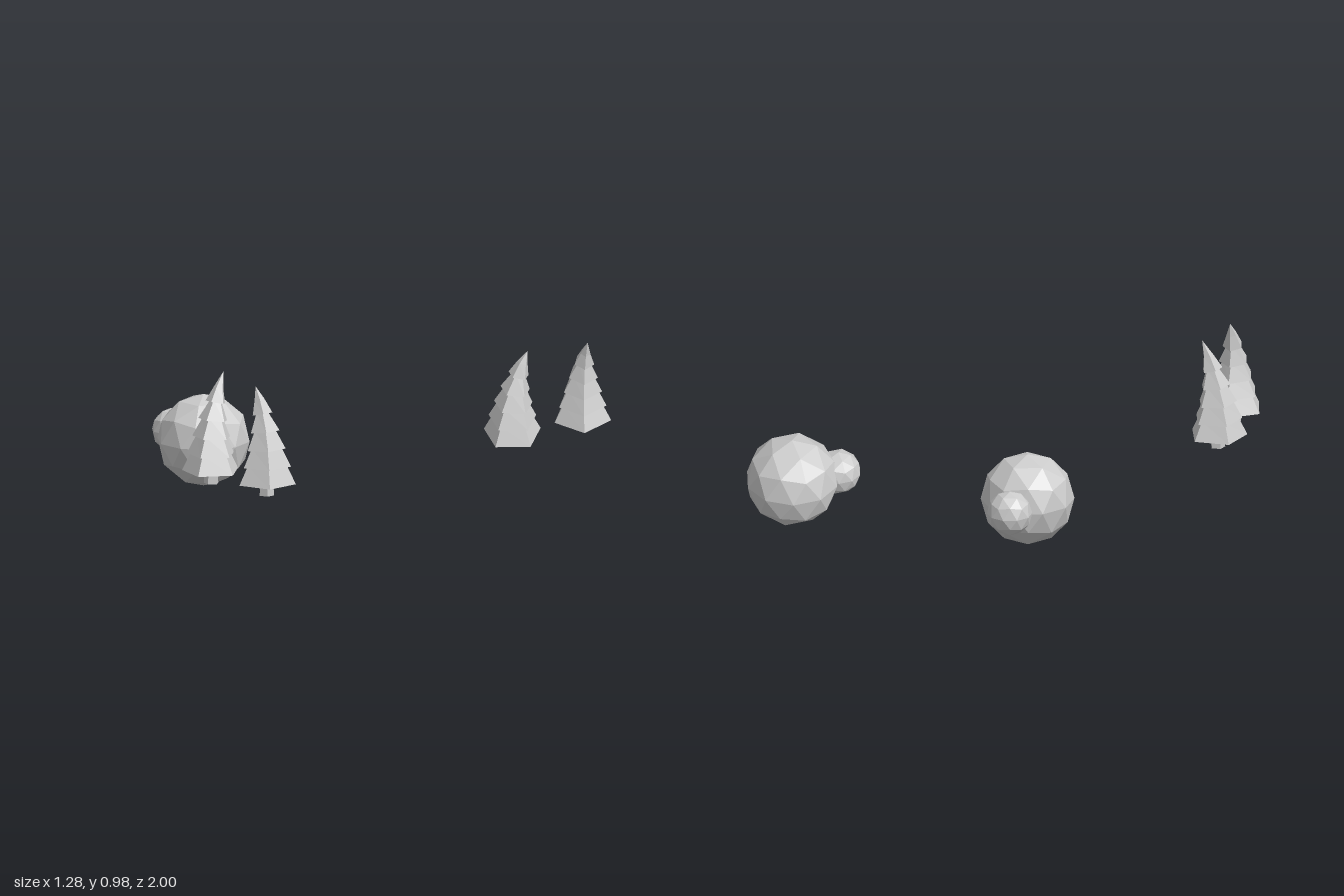
import * as THREE from 'three';

const material = new THREE.MeshStandardMaterial({ color: 0xcccccc, flatShading: true, side: THREE.DoubleSide });
const SIDES = 5;
const BASE = 0.4; // height of the lowest branch rim

function addMesh(parent, name, geometry) {
  const mesh = new THREE.Mesh(geometry, material);
  mesh.name = name;
  parent.add(mesh);
  return mesh;
}

// Faceted ball with a corner straight up
function ball(parent, name, radius, x, y, z) {
  const geometry = new THREE.IcosahedronGeometry(radius, 1);
  geometry.rotateZ(-Math.atan(2 / (1 + Math.sqrt(5))));
  addMesh(parent, name, geometry).position.set(x, y, z);
}

// Flat-sided turned shape from [radius, height] pairs, listed bottom to top
function turned(points, phi) {
  return new THREE.LatheGeometry(points.map(([r, y]) => new THREE.Vector2(r, y)), SIDES, phi);
}

// Lean the crown towards (bx, bz), more strongly near the tip
function bend(geometry, bx, bz, tipY) {
  const reach = 0.095, power = 2.8, span = tipY - BASE;
  const p = geometry.attributes.position;
  for (let i = 0; i < p.count; i++) {
    const x = p.getX(i), y = p.getY(i), z = p.getZ(i);
    const t = Math.max(0, (y - BASE) / span);
    const shift = reach * t ** power;
    const slope = (reach * power / span) * t ** (power - 1);
    p.setXYZ(i, x + bx * shift, y - slope * (x * bx + z * bz), z + bz * shift);
  }
  return geometry;
}

function tree(parent, name, x, z, phi, bx, bz, tipY) {
  const group = new THREE.Group();
  group.name = name;
  group.position.set(x, 0, z);
  parent.add(group);

  // Five stacked skirts, each overhanging the one below, ending in a point
  const profile = [[0, 0.425]];
  for (let i = 0; i < 5; i++) {
    const y = BASE + i * 0.102, r = 0.175 - i * 0.0285;
    profile.push([r, y]);
    if (i < 4) profile.push([r - 0.056, y + 0.114]);
  }
  profile.push([0.03, 0.89], [0, tipY]);
  addMesh(group, 'branches', bend(turned(profile, phi), bx, bz, tipY));

  // Short tapered trunk with a closed foot
  addMesh(group, 'trunk', turned([[0, 0.327], [0.045, 0.327], [0.039, 0.43]], phi));
}

export function createModel() {
  const model = new THREE.Group();
  model.name = 'treesAndBalls';

  ball(model, 'largeBall', 0.275, 0.378, 0.28, -0.588);
  ball(model, 'smallBall', 0.133, 0.402, 0.288, -0.867);

  tree(model, 'frontTree', -0.45, 0.857, Math.PI, 0, -1, 0.965);
  tree(model, 'backTree', -0.48, 0.413, THREE.MathUtils.degToRad(75), 1, 0, 0.985);

  return model;
}
